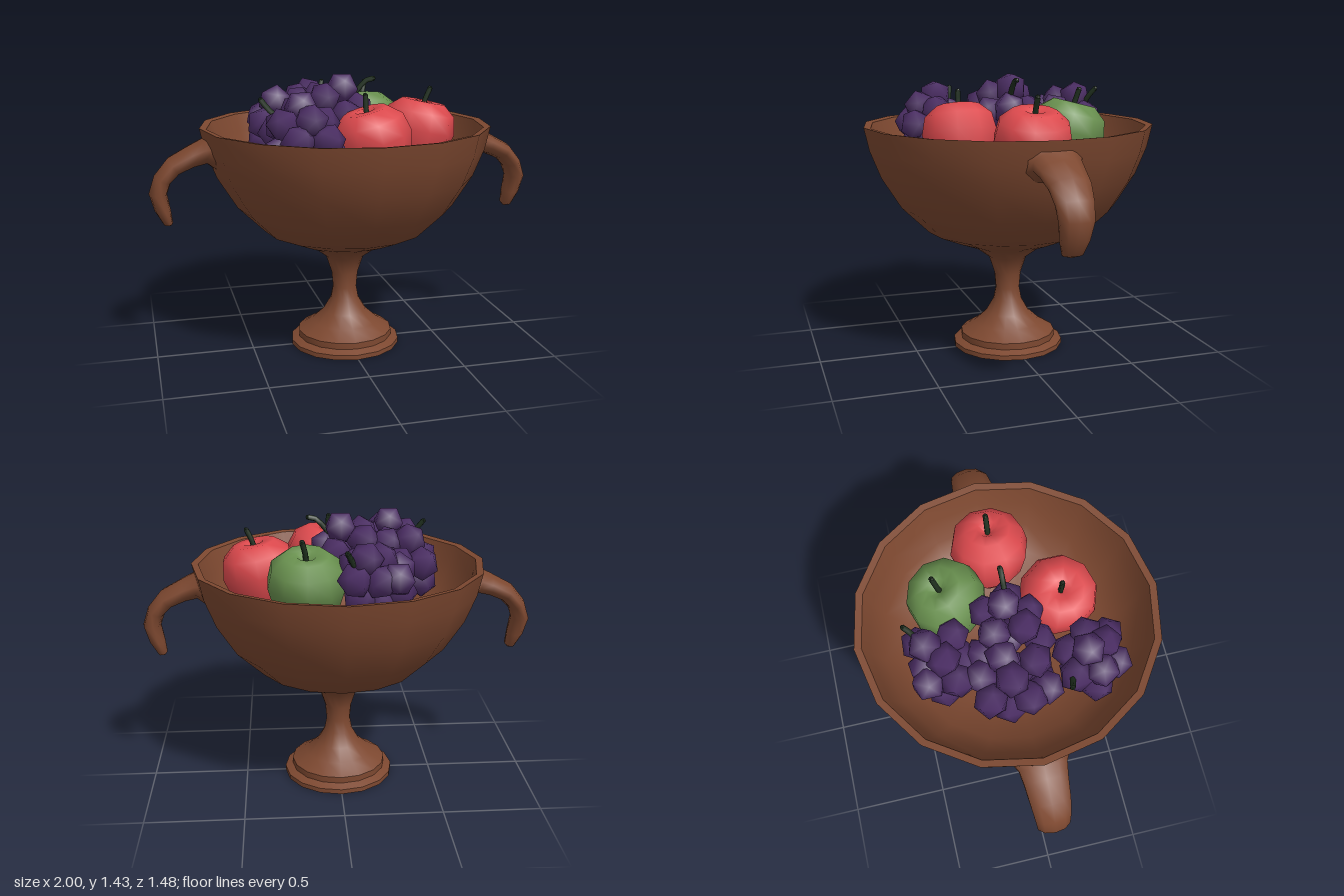
import * as THREE from 'three';
import { mergeVertices, toCreasedNormals } from 'three/addons/utils/BufferGeometryUtils.js';

const paint = (color, side = THREE.FrontSide) => new THREE.MeshStandardMaterial({ color, side });
const clay = paint(0x7d4830, THREE.DoubleSide);
const red = paint(0xdc494d);
const green = paint(0x688f4e);
const purple = paint(0x4b2d64);
const bark = paint(0x20301f);

const V = (x, y, z) => new THREE.Vector3(x, y, z);

function add(parent, name, geometry, material) {
  const mesh = new THREE.Mesh(geometry, material);
  mesh.name = name;
  parent.add(mesh);
  return mesh;
}

const lathe = (pts, sides) =>
  new THREE.LatheGeometry(pts.map(([r, y]) => new THREE.Vector2(r, y)), sides);

// Short bent stalk through a few points
function addStalk(parent, pts) {
  const curve = new THREE.CatmullRomCurve3(pts.map((p) => V(...p)));
  add(parent, 'stalk', new THREE.TubeGeometry(curve, 4, 0.014, 5), bark);
  const end = add(parent, 'stalkEnd', new THREE.IcosahedronGeometry(0.014, 0), bark);
  end.position.set(...pts[pts.length - 1]);
}

// Curved handle lofted through oval sections: outer x,y / inner x,y / half width
function handleGeometry() {
  const sections = [
    [0.70, 1.165, 0.66, 0.97, 0.14],
    [0.73, 1.135, 0.71, 1.01, 0.12],
    [0.79, 1.105, 0.775, 0.995, 0.11],
    [0.90, 1.045, 0.845, 0.965, 0.10],
    [0.97, 0.96, 0.89, 0.92, 0.09],
    [1.00, 0.87, 0.91, 0.865, 0.083],
    [0.975, 0.78, 0.895, 0.78, 0.07],
    [0.935, 0.71, 0.888, 0.715, 0.05],
    [0.91, 0.70, 0.90, 0.70, 0.01],
  ];
  const n = 10, pos = [], index = [];
  sections.forEach(([ox, oy, ix, iy, w], s) => {
    for (let k = 0; k < n; k++) {
      const a = (k / n) * Math.PI * 2, c = Math.cos(a) / 2;
      pos.push((ox + ix) / 2 + (ox - ix) * c, (oy + iy) / 2 + (oy - iy) * c, Math.sin(a) * w);
      if (s === 0) continue;
      const p = (s - 1) * n + k, q = (s - 1) * n + ((k + 1) % n);
      index.push(p, q, p + n, q, q + n, p + n);
    }
  });
  const g = new THREE.BufferGeometry();
  g.setAttribute('position', new THREE.Float32BufferAttribute(pos, 3));
  g.setIndex(index);
  g.computeVertexNormals();
  return g;
}

// Apple with a dimple and stalk
function addApple(parent, name, material, position, tiltX, tiltZ) {
  const apple = new THREE.Group();
  apple.name = name;
  const profile = [[0, -0.15], [0.05, -0.18], [0.11, -0.17], [0.165, -0.09], [0.195, 0.03],
    [0.175, 0.12], [0.11, 0.175], [0.05, 0.175], [0, 0.13]];
  add(apple, name + 'Flesh', lathe(profile, 10), material);
  addStalk(apple, [[0, 0.12, 0], [0.005, 0.18, 0], [0.02, 0.245, 0]]);
  apple.position.set(...position);
  apple.rotation.set(tiltX, 0, tiltZ);
  parent.add(apple);
}

// Faceted grape with softened normals
function grapeGeometry() {
  const g = new THREE.IcosahedronGeometry(0.086, 0);
  g.deleteAttribute('normal');
  g.deleteAttribute('uv');
  const merged = mergeVertices(g, 1e-3);
  merged.computeVertexNormals();
  return merged;
}

function addBunch(parent, name, centres, stalk) {
  const bunch = new THREE.Group();
  bunch.name = name;
  const geometry = grapeGeometry();
  centres.forEach((c, i) => {
    const grape = add(bunch, 'grape', geometry, purple);
    grape.position.set(...c);
    grape.rotation.set(i * 1.3, i * 2.1, i * 0.7);
  });
  addStalk(bunch, stalk);
  parent.add(bunch);
}

export function createModel() {
  const model = new THREE.Group();
  model.name = 'fruitBowl';

  // Footed bowl, outside then inside
  const profile = [[0, 0], [0.29, 0], [0.29, 0.025], [0.25, 0.042], [0.25, 0.075], [0.175, 0.12],
    [0.115, 0.175], [0.075, 0.245], [0.063, 0.31], [0.07, 0.39], [0.1, 0.48], [0.18, 0.54],
    [0.3, 0.585], [0.42, 0.635], [0.56, 0.77], [0.66, 0.93], [0.715, 1.07], [0.74, 1.185],
    [0.705, 1.18], [0.675, 1.09], [0.62, 0.96], [0.52, 0.85], [0.35, 0.78], [0, 0.76]];
  add(model, 'bowl', toCreasedNormals(lathe(profile, 16), 0.8), clay);

  // Handles on both sides
  const handle = handleGeometry();
  add(model, 'leftHandle', handle, clay);
  add(model, 'rightHandle', handle, clay).rotation.y = Math.PI;

  // Apples
  addApple(model, 'frontApple', red, [0.08, 1.115, 0.27], 0, 0.27);
  addApple(model, 'sideApple', red, [0.39, 1.115, 0], 0, -0.2);
  addApple(model, 'greenApple', green, [0.17, 1.125, -0.255], -0.25, 0);

  // Grapes
  addBunch(model, 'backGrapes', [
    [-0.25, 1.21, -0.43], [-0.18, 1.28, -0.34], [-0.10, 1.30, -0.41], [-0.05, 1.21, -0.44],
    [-0.27, 1.22, -0.30], [-0.06, 1.24, -0.28], [-0.17, 1.20, -0.43], [-0.27, 1.13, -0.36],
    [-0.14, 1.15, -0.25], [-0.08, 1.10, -0.38], [-0.19, 1.06, -0.38], [-0.20, 1.0, -0.28],
  ], [[-0.06, 1.25, -0.44], [-0.03, 1.31, -0.46], [-0.01, 1.35, -0.49]]);
  addBunch(model, 'middleGrapes', [
    [-0.01, 1.36, -0.02], [-0.12, 1.32, 0.05], [-0.12, 1.31, -0.09], [0.02, 1.25, -0.10],
    [0.06, 1.26, 0.01], [-0.02, 1.24, 0.09], [-0.23, 1.29, -0.08], [-0.27, 1.26, 0.07],
    [-0.35, 1.30, -0.06], [-0.40, 1.21, -0.17], [-0.42, 1.20, 0.01], [-0.38, 1.17, 0.10],
    [-0.28, 1.22, -0.19], [-0.16, 1.18, -0.16], [-0.14, 1.17, 0.12], [-0.25, 1.13, 0.0],
    [-0.08, 1.14, 0.0], [-0.41, 1.10, -0.08], [-0.30, 1.05, 0.09], [-0.28, 1.03, -0.14],
    [-0.12, 1.02, -0.06], [0.0, 1.10, -0.06],
  ], [[0.04, 1.32, 0], [0.08, 1.37, 0], [0.11, 1.40, 0], [0.15, 1.41, 0]]);
  addBunch(model, 'frontGrapes', [
    [-0.29, 1.31, 0.31], [-0.26, 1.26, 0.40], [-0.38, 1.24, 0.36], [-0.19, 1.24, 0.33],
    [-0.37, 1.22, 0.24], [-0.24, 1.20, 0.24], [-0.33, 1.17, 0.44], [-0.19, 1.17, 0.44],
    [-0.40, 1.11, 0.34], [-0.17, 1.10, 0.36], [-0.28, 1.07, 0.42], [-0.30, 1.05, 0.27],
    [-0.24, 0.99, 0.34],
  ], [[-0.38, 1.25, 0.22], [-0.43, 1.30, 0.20], [-0.46, 1.34, 0.19]]);

  return model;
}
